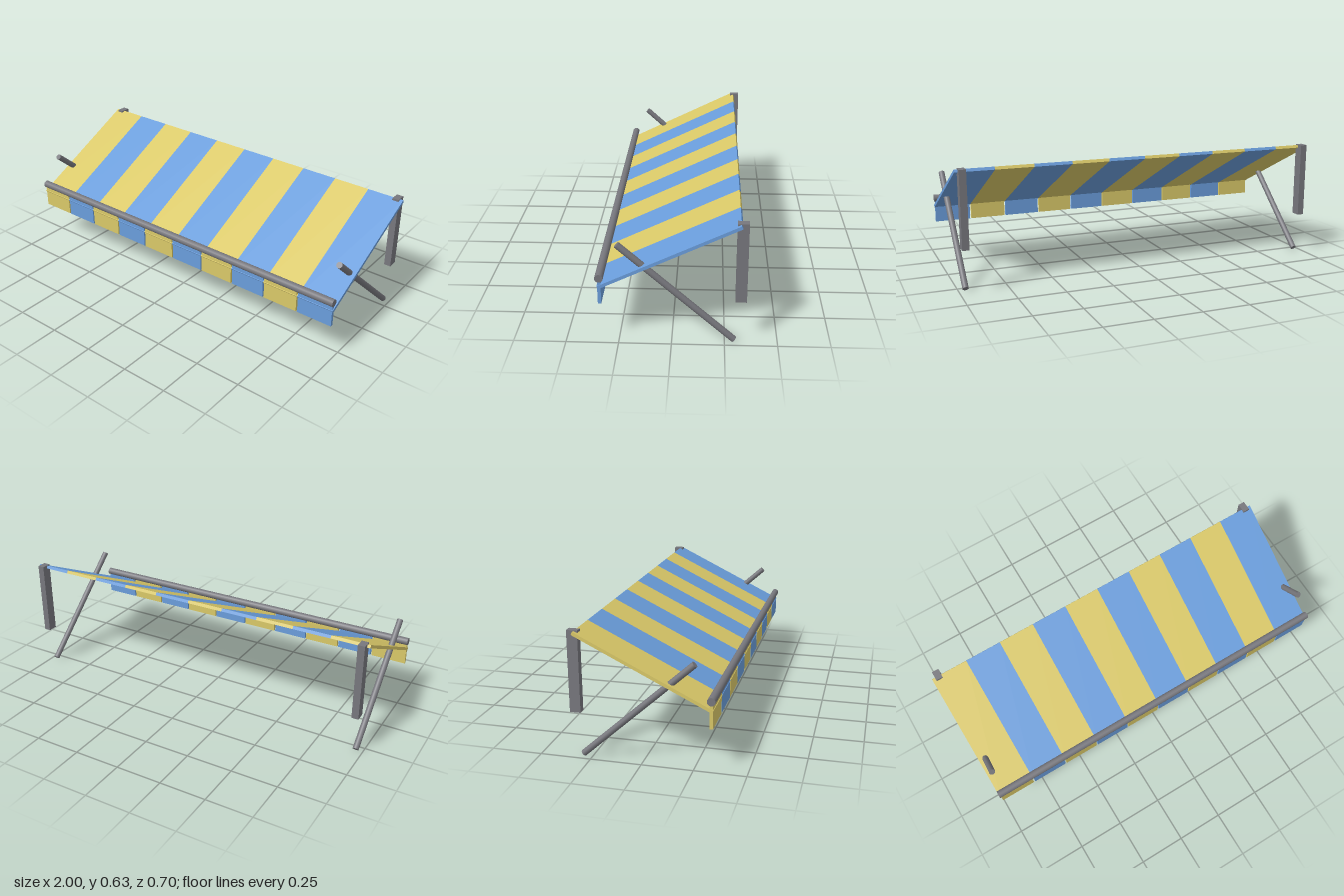
import * as THREE from 'three';

const yellow = new THREE.MeshStandardMaterial({ color: 0xd9c868 });
yellow.name = 'yellow canvas';
const blue = new THREE.MeshStandardMaterial({ color: 0x6a9ddb });
blue.name = 'blue canvas';
const grey = new THREE.MeshStandardMaterial({ color: 0x77777d });
grey.name = 'grey metal';

const STRIPES = 10, STRIPE_WIDTH = 0.2, THICKNESS = 0.016;

function add(parent, name, geometry, material, x, y, z) {
  const mesh = new THREE.Mesh(geometry, material);
  mesh.name = name;
  mesh.position.set(x, y, z);
  parent.add(mesh);
  return mesh;
}

// Round bar running between two points
function bar(parent, name, from, to, radius) {
  const dir = to.clone().sub(from);
  const mid = from.clone().add(to).multiplyScalar(0.5);
  const geometry = new THREE.CylinderGeometry(radius, radius, dir.length(), 16);
  const mesh = add(parent, name, geometry, grey, mid.x, mid.y, mid.z);
  mesh.quaternion.setFromUnitVectors(new THREE.Vector3(0, 1, 0), dir.normalize());
}

export function createModel() {
  const awning = new THREE.Group();
  awning.name = 'awning';

  // Sloping canvas stripes with a hanging valance flap under each
  const panelGeometry = new THREE.BoxGeometry(STRIPE_WIDTH, THICKNESS, 0.73);
  const flapGeometry = new THREE.BoxGeometry(STRIPE_WIDTH - 0.008, 0.12, THICKNESS);
  for (let i = 0; i < STRIPES; i++) {
    const x = (i - (STRIPES - 1) / 2) * STRIPE_WIDTH;
    const material = i % 2 ? blue : yellow;
    const panel = add(awning, 'canvasStripe', panelGeometry, material, x, 0.458, 0.011);
    panel.rotation.x = Math.atan2(0.319, 0.656);
    add(awning, 'valanceFlap', flapGeometry, material, x, 0.273, 0.332);
  }

  // Front roller bar
  bar(awning, 'frontBar', new THREE.Vector3(-1, 0.346, 0.332), new THREE.Vector3(1, 0.346, 0.332), 0.02);

  // Wall brackets and diagonal support arms, one pair per side
  for (const side of [-1, 1]) {
    const x = side * 0.965;
    add(awning, 'wallBracket', new THREE.BoxGeometry(0.036, 0.402, 0.053), grey, x, 0.426, -0.3225);
    bar(awning, 'supportArm', new THREE.Vector3(x, 0.012, -0.294), new THREE.Vector3(x, 0.505, 0.249), 0.016);
  }
  return awning;
}
